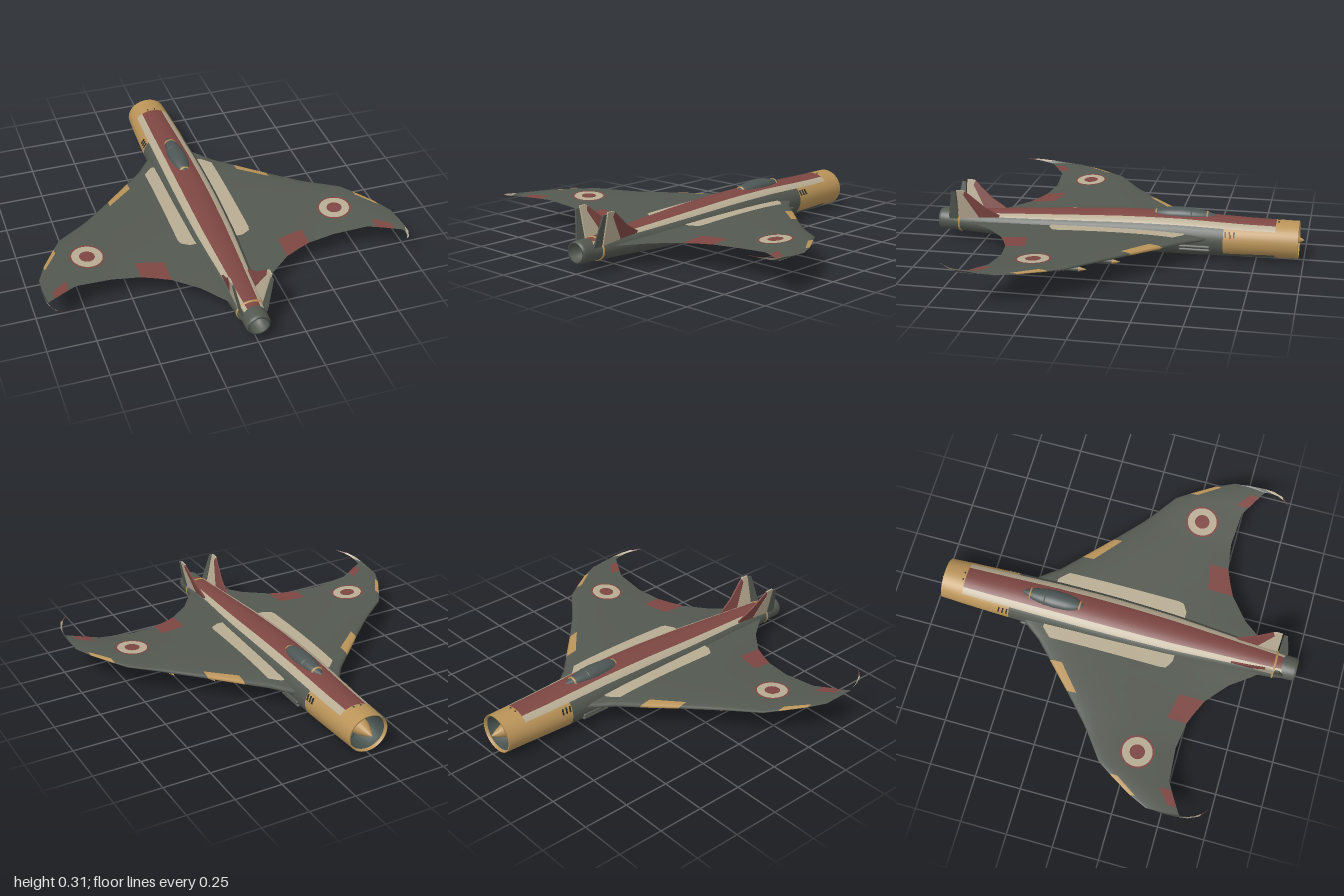
import * as THREE from 'three';

const mat = (name, color, side = THREE.FrontSide) => {
  const m = new THREE.MeshStandardMaterial({ color });
  m.name = name;
  m.side = side;
  return m;
};

// Piecewise linear lookup in a list of [x, value]
function lerpTable(t, x) {
  for (let i = 1; i < t.length; i++) {
    if (x <= t[i][0] || i === t.length - 1) {
      const k = (x - t[i - 1][0]) / (t[i][0] - t[i - 1][0]);
      return t[i - 1][1] + k * (t[i][1] - t[i - 1][1]);
    }
  }
}

// Wing outline and section rules, by span position
const LEAD = [[.05, -.58], [.14, -.48], [.215, -.38], [.455, -.15], [.62, 0], [.79, .125], [.91, .32], [.955, .42]];
const TRAIL = [[.05, .84], [.108, .78], [.19, .67], [.31, .57], [.44, .51], [.6, .487], [.785, .5], [.865, .545], [.955, .6]];
const MID = [[.05, .122], [.15, .125], [.3, .13], [.6, .143], [.85, .165], [.955, .172]];
const THICK = [[.05, .058], [.15, .055], [.3, .05], [.6, .035], [.85, .018], [.955, .005]];
function wingY(x, u, side) {
  const t = 2.598 * Math.sqrt(u) * (1 - u) + .03;
  return lerpTable(MID, x) + side * t * lerpTable(THICK, x) / 2;
}
function wingTop(x, z) {
  const a = lerpTable(LEAD, x), b = lerpTable(TRAIL, x);
  return wingY(x, THREE.MathUtils.clamp((z - a) / (b - a), 0, 1), 1);
}

// Surface from a grid of points; pick(i, j) chooses the material of each cell
function grid(name, rows, cols, pos, mats, pick = () => 0, flip = false) {
  const p = [], index = [], buckets = mats.map(() => []);
  for (let i = 0; i <= rows; i++) for (let j = 0; j <= cols; j++) p.push(...pos(i, j));
  for (let i = 0; i < rows; i++) for (let j = 0; j < cols; j++) {
    const a = i * (cols + 1) + j, b = a + cols + 1, c = a + 1, d = b + 1;
    buckets[pick(i, j)].push(...(flip ? [a, c, b, b, c, d] : [a, b, c, b, d, c]));
  }
  const g = new THREE.BufferGeometry();
  buckets.forEach((b, k) => {
    g.addGroup(index.length, b.length, k);
    for (const v of b) index.push(v);
  });
  g.setAttribute('position', new THREE.Float32BufferAttribute(p, 3));
  g.setIndex(index);
  g.computeVertexNormals();
  const m = new THREE.Mesh(g, mats);
  m.name = name;
  return m;
}

// Elliptical rings [z, half width, top, bottom] joined into a tube, seam underneath
function loft(name, st, mats, pick) {
  const n = 36;
  return grid(name, st.length - 1, n, (i, j) => {
    const [z, w, t, b] = st[i], a = -Math.PI + j / n * Math.PI * 2;
    return [Math.sin(a) * w, (t + b) / 2 + Math.cos(a) * (t - b) / 2, z];
  }, mats, pick && ((i, j) => pick((st[i][0] + st[i + 1][0]) / 2, Math.abs(-180 + (j + .5) * 10))));
}

export function createModel() {
  const root = new THREE.Group();
  root.name = 'aircraft';
  const green = mat('dark green paint', 0x535850), gold = mat('ochre paint', 0xb99358);
  const red = mat('dull red paint', 0x7d4642), cream = mat('cream paint', 0xb7ab92);
  const glass = mat('canopy glass', 0x4c5654), metal = mat('duct metal', 0x46514d), black = mat('dark slots', 0x2a2d2a);
  const thin = [mat('tip green', 0x535850, 2), mat('tip cream', 0xb7ab92, 2), mat('tip red', 0x7d4642, 2)];
  const add = (name, geo, m, x = 0, y = 0, z = 0, parent = root) => {
    const o = new THREE.Mesh(geo, m);
    o.name = name;
    o.position.set(x, y, z);
    parent.add(o);
    return o;
  };

  // Fuselage with painted spine, side bands and nose
  root.add(loft('fuselage', [[-.97, .11, .212, .012], [-.85, .117, .212, .012], [-.7, .123, .214, .008], [-.58, .127, .218, .005],
    [-.35, .134, .227, .002], [-.15, .136, .226, .003], [0, .135, .222, .007], [.15, .131, .214, .012], [.3, .125, .205, .02],
    [.45, .113, .195, .027], [.6, .1, .185, .035], [.75, .087, .175, .043], [.88, .074, .167, .05], [.93, .066, .164, .054]],
  [green, gold, red, cream], (z, a) => {
    if (z < -.85) return 1;
    if (a < 30) return 2;
    if (a < 50) return 3;
    return z < -.58 && a < 130 ? 1 : 0;
  }));

  // Air intake: lip, duct, centre cone and struts
  root.add(loft('intakeDuct', [[-.82, .001, .113, .111], [-.82, .085, .197, .027], [-.955, .1, .204, .02], [-.972, .105, .208, .016],
    [-.97, .11, .212, .012]], [metal, gold], z => z < -.95 ? 1 : 0));
  const cone = new THREE.LatheGeometry([[.052, .82], [.05, .87], [.038, .92], [.018, .97], [.005, .994], [0, 1]]
    .map(q => new THREE.Vector2(...q)), 24);
  add('intakeCone', cone.rotateX(-Math.PI / 2), gold, 0, .112, 0);
  for (const a of [0, Math.PI / 2]) {
    add('intakeStrut', new THREE.BoxGeometry(.18, .008, .05), metal, 0, .112, -.87).rotation.z = a + Math.PI / 4;
  }

  // Tail band and exhaust pipe
  root.add(loft('tailBand', [[.875, .073, .166, .051], [.876, .078, .171, .046], [.885, .077, .17, .047], [.886, .07, .166, .051]], [gold]));
  root.add(loft('exhaustPipe', [[.9, .06, .162, .054], [.93, .065, .168, .05], [.985, .063, .168, .05], [1, .058, .163, .055],
    [1, .05, .155, .063], [.93, .045, .152, .066], [.93, .001, .11, .108]], [green, metal], z => z > .995 || z < .91 ? 1 : 0));

  // Canopy and its frames
  root.add(loft('canopy', [[-.53, .003, .224, .2], [-.5, .022, .233, .19], [-.46, .036, .243, .185], [-.41, .045, .25, .18],
    [-.35, .05, .255, .18], [-.28, .047, .251, .18], [-.23, .038, .243, .185], [-.19, .012, .228, .2]], [glass]));
  root.add(loft('canopyFrontFrame', [[-.488, .025, .236, .19], [-.487, .031, .24, .188], [-.48, .034, .242, .188], [-.479, .028, .237, .19]], [gold]));
  root.add(loft('canopyMiddleFrame', [[-.403, .044, .25, .18], [-.402, .047, .253, .18], [-.396, .048, .253, .18], [-.395, .045, .25, .18]], [green]));
  root.add(loft('canopyRearFrame', [[-.211, .026, .236, .19], [-.21, .03, .239, .19], [-.203, .027, .236, .19], [-.202, .02, .232, .19]], [gold]));

  const spans = [.05, .108, .14, .19, .215, .26, .31, .385, .455, .53, .6, .66, .72, .785, .83, .87, .91, .935, .955];
  const chord = [1, .93, .84, .8, .65, .5, .35, .22, .13, .08, .04, .015, 0];
  const loop = [...chord.map(u => [u, 1]), ...chord.slice(0, -1).reverse().map(u => [u, -1])];

  for (const s of [1, -1]) {
    const side = s > 0 ? 'left' : 'right', flip = s < 0;

    // Wing with coloured edge panels on both faces
    root.add(grid(side + 'Wing', spans.length - 1, loop.length - 1, (i, j) => {
      const x = spans[i], [u, f] = loop[j], a = lerpTable(LEAD, x);
      return [s * x, wingY(x, u, f), a + u * (lerpTable(TRAIL, x) - a)];
    }, [green, gold, red], (i, j) => {
      const x = (spans[i] + spans[i + 1]) / 2, u = (loop[j][0] + loop[j + 1][0]) / 2;
      const inner = x > .31 && x < .455, outer = x > .83 && x < .91;
      if (inner && u < .08 || outer && u < .13) return 1;
      return inner && u > .84 || outer && u > .8 ? 2 : 0;
    }, flip));

    // Upswept hooked tip
    const hook = [[.95, .172, .41, .945, .172, .6], [.96, .178, .5, .946, .175, .612], [.96, .186, .58, .943, .182, .64],
      [.953, .194, .64, .934, .191, .668], [.93, .204, .695, .914, .201, .702], [.88, .216, .737, .88, .214, .737]];
    root.add(grid(side + 'WingTip', 5, 1, (i, j) => {
      const h = hook[i].slice(j * 3, j * 3 + 3);
      return [s * h[0], h[1], h[2]];
    }, thin, i => [0, 0, 1, 1, 2][i], !flip));

    // Cream wing root panel
    root.add(grid(side + 'RootPanel', 28, 3, (i, j) => {
      const z = -.375 + i / 28 * .725;
      const edge = .145 + .05 * Math.min(1, (z + .375) / .05, (.35 - z) / .03);
      const x = .1 + j / 3 * (edge - .1);
      return [s * x, wingTop(x, z) + .004, z];
    }, [cream], undefined, flip));

    // Roundel draped over the wing
    const radii = [0, .02, .04, .06, .08, .09];
    root.add(grid(side + 'Roundel', 40, 5, (i, j) => {
      const a = i / 40 * Math.PI * 2, x = .68 + radii[j] * Math.cos(a), z = .3 + radii[j] * Math.sin(a);
      return [s * x, wingTop(x, z) + .004, z];
    }, [red, cream], (i, j) => j === 2 || j === 3 ? 1 : 0, flip));

    // Canted tail fin: red leading band, cream panel, dark rudder
    const fin = (name, pts, m, depth) => {
      const g = new THREE.ExtrudeGeometry(new THREE.Shape(pts.map(([z, y]) => new THREE.Vector2(-z, y))), { depth, bevelEnabled: false });
      g.translate(0, 0, -depth / 2).rotateY(Math.PI / 2);
      const p = g.attributes.position;
      for (let i = 0; i < p.count; i++) p.setX(i, p.getX(i) + s * (.066 + (p.getY(i) - .15) * .23));
      g.computeVertexNormals();
      add(side + name, g, m);
    };
    fin('FinLeadingBand', [[.65, .14], [.65, .168], [.73, .215], [.83, .303], [.845, .29], [.76, .14]], red, .009);
    fin('Fin', [[.755, .13], [.84, .28], [.83, .303], [.84, .308], [.877, .308], [.877, .13]], cream, .01);
    fin('Rudder', [[.884, .13], [.884, .297], [.906, .297], [.935, .15], [.935, .13]], green, .009);

    // Slots behind the nose and gun fairings
    for (let k = 0; k < 3; k++) {
      const slot = add(side + 'NoseSlot', new THREE.BoxGeometry(.006, .032, .007), black, s * .1165, .154, -.592 - k * .022);
      slot.rotation.set(.15, 0, s * .45);
    }
    for (const [y, x] of [[.082, .128], [.062, .121]]) {
      add(side + 'GunFairing', new THREE.CapsuleGeometry(.009, .15, 4, 10).rotateX(Math.PI / 2), green, s * x, y, -.43);
    }
    add(side + 'NoseRivet', new THREE.SphereGeometry(.005, 8, 6), black, s * .02, .211, -.862);

    // Underwing rockets on pylons
    for (const [x, y, z] of [[.38, .064, .01], [.55, .076, .15]]) {
      const r = new THREE.Group();
      r.name = side + 'Rocket';
      r.position.set(s * x, y, z);
      root.add(r);
      add('rocketBody', new THREE.CylinderGeometry(.012, .012, .12, 14).rotateX(-Math.PI / 2), green, 0, 0, .01, r);
      add('rocketNose', new THREE.ConeGeometry(.013, .045, 14).rotateX(-Math.PI / 2), gold, 0, 0, -.072, r);
      add('rocketBand', new THREE.CylinderGeometry(.0135, .0135, .012, 14).rotateX(-Math.PI / 2), gold, 0, 0, .03, r);
      add('pylon', new THREE.BoxGeometry(.008, .06, .07), green, 0, .035, 0, r);
      for (const a of [1, -1]) add('rocketFin', new THREE.BoxGeometry(.04, .003, .025), green, 0, 0, .058, r).rotation.z = a * Math.PI / 4;
    }
  }
  return root;
}
